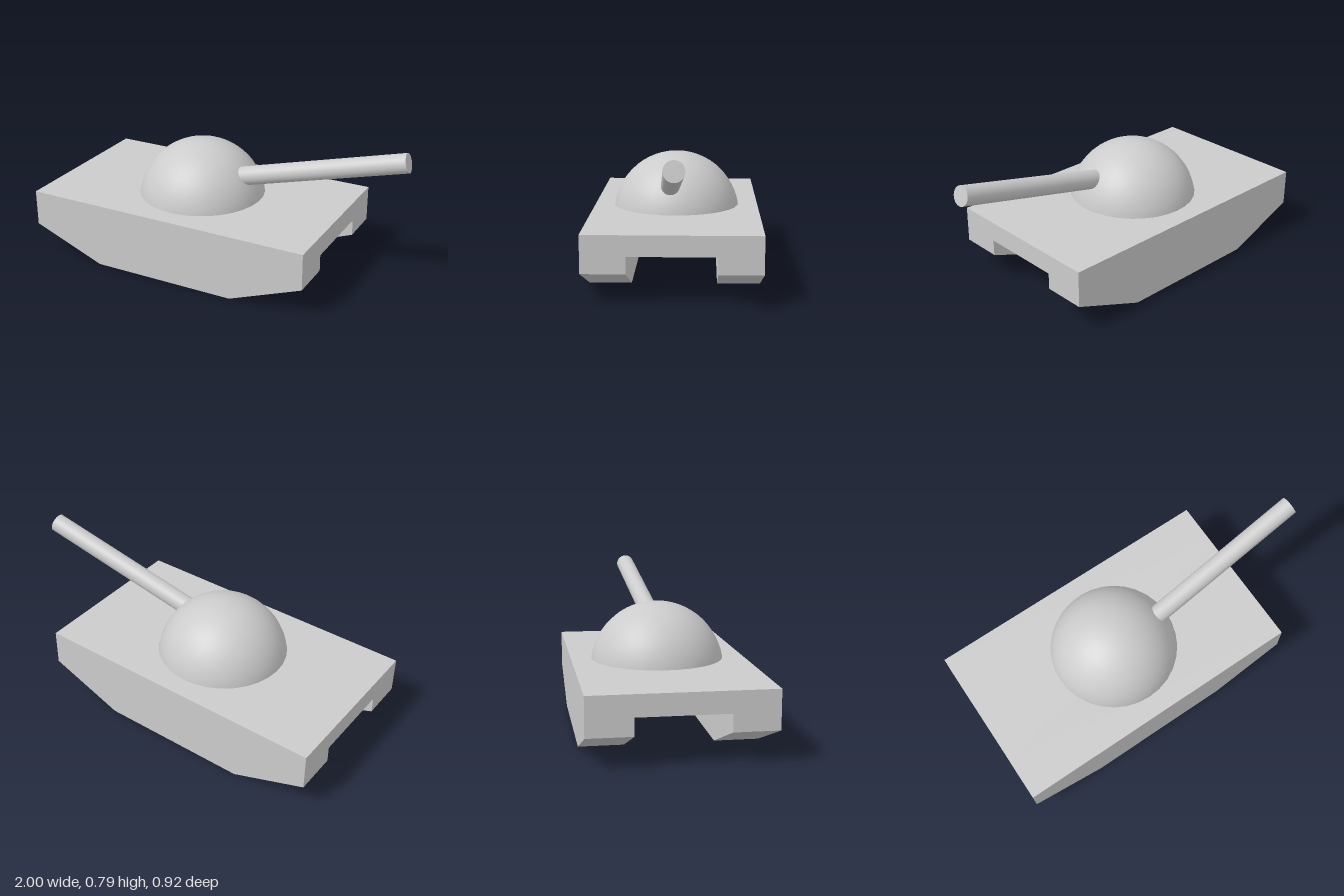
import * as THREE from 'three';

export function createModel() {
  const model = new THREE.Group();
  const material = new THREE.MeshStandardMaterial({ color: 0xcccccc });
  const add = (name, geometry) => {
    const mesh = new THREE.Mesh(geometry, material);
    mesh.name = name;
    model.add(mesh);
    return mesh;
  };

  const rear = -1, front = 0.635, top = 0.36, channelTop = 0.25;
  const halfWidth = 0.46, channelHalf = 0.23;

  // Track sides: boat-shaped profile with sloping ends
  const profile = new THREE.Shape([
    [rear, top], [rear, 0.16], [-0.59, 0], [0.225, 0], [front, 0.16], [front, top],
  ].map(([x, y]) => new THREE.Vector2(x, y)));
  const side = new THREE.ExtrudeGeometry(profile, {
    depth: halfWidth - channelHalf, bevelEnabled: false,
  });
  add('leftTrack', side).position.z = -halfWidth;
  add('rightTrack', side).position.z = channelHalf;

  // Deck bridging the two tracks above the open channel
  const deck = add('deck', new THREE.BoxGeometry(front - rear, top - channelTop, channelHalf * 2));
  deck.position.set((rear + front) / 2, (top + channelTop) / 2, 0);

  // Domed turret, sunk slightly into the deck
  const turret = add('turret',
    new THREE.SphereGeometry(0.356, 32, 16, 0, Math.PI * 2, 0, Math.PI / 2));
  turret.position.set(-0.183, 0.304, 0);

  // Barrel rising forward and slightly to one side
  const root = new THREE.Vector3(0, 0.484, 0.031);
  const muzzle = new THREE.Vector3(0.987, 0.738, -0.022);
  const axis = muzzle.clone().sub(root);
  const barrel = add('barrel', new THREE.CylinderGeometry(0.052, 0.052, axis.length(), 32));
  barrel.position.copy(root).add(muzzle).multiplyScalar(0.5);
  barrel.quaternion.setFromUnitVectors(new THREE.Vector3(0, 1, 0), axis.normalize());

  return model;
}
